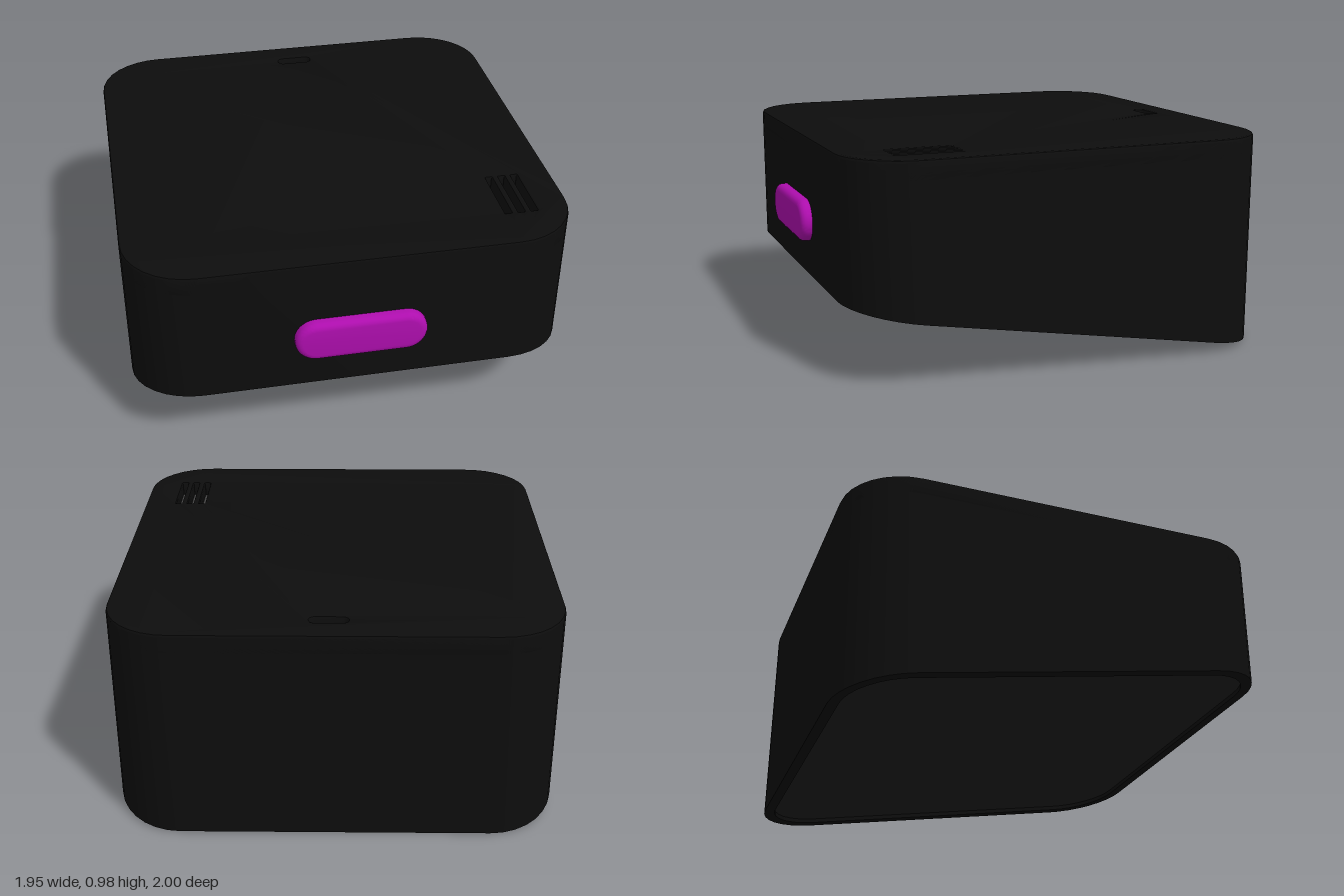
import * as THREE from 'three';
import { toCreasedNormals } from 'three/addons/utils/BufferGeometryUtils.js';

const black = new THREE.MeshStandardMaterial({ color: 0x0d0d0d });
const darkGrey = new THREE.MeshStandardMaterial({ color: 0x1e1e1e });
const grey = new THREE.MeshStandardMaterial({ color: 0x444444 });
const magenta = new THREE.MeshStandardMaterial({ color: 0xae0eae });

const CENTER_Z = -0.025;
const TOP = 0.975;
const underside = (z) => 0.345 * (z + 1) / 1.95;

// Rounded rectangle centred on (cx, cy)
function roundRect(w, h, r, cx = 0, cy = 0, PathType = THREE.Shape) {
  const p = new PathType();
  const x = w / 2 - r, y = h / 2 - r;
  const corners = [[x, y], [-x, y], [-x, -y], [x, -y]];
  corners.forEach(([px, py], i) =>
    p.absarc(cx + px, cy + py, r, i * Math.PI / 2, (i + 1) * Math.PI / 2, false));
  p.closePath();
  return p;
}

// Extrude a floor plan upwards; plan y is minus world z
function extrudeUp(shape, depth, options = {}) {
  const g = new THREE.ExtrudeGeometry(shape, { depth, curveSegments: 4, bevelEnabled: false, ...options });
  return g.rotateX(-Math.PI / 2);
}

// Move every vertex height by a rule of (y, z)
function mapHeight(g, rule) {
  const p = g.attributes.position;
  for (let i = 0; i < p.count; i++) p.setY(i, rule(p.getY(i), p.getZ(i)));
  return g;
}

export function createModel() {
  const group = new THREE.Group();
  const add = (name, geometry, material) => {
    const mesh = new THREE.Mesh(toCreasedNormals(geometry, 0.5), material);
    mesh.name = name;
    group.add(mesh);
  };

  // Side wall, cut off at a slant underneath
  const wall = roundRect(1.95, 1.95, 0.295, 0, -CENTER_Z);
  wall.holes.push(roundRect(1.85, 1.85, 0.245, 0, -CENTER_Z, THREE.Path));
  add('sideWall', mapHeight(extrudeUp(wall, 1), (t, z) => THREE.MathUtils.lerp(underside(z), 0.962, t)), black);

  // Slanted base plate, slightly recessed in the wall
  const plate = roundRect(1.852, 1.852, 0.246, 0, -CENTER_Z);
  add('basePlate', mapHeight(extrudeUp(plate, 0.03), (y, z) => y + underside(z) + 0.02), darkGrey);

  // Openings in the top: one indicator window and three vent slots
  const openings = [
    { name: 'indicatorWindow', x: 0.027, z: -0.85, w: 0.165, h: 0.05, r: 0.0249 },
    ...[0.694, 0.753, 0.811].map((x) => ({ name: 'ventSlot', x, z: 0.585, w: 0.028, h: 0.29, r: 0.002 })),
  ];

  // Top lid with a fine bevel
  const bevel = 0.012;
  const lid = roundRect(1.95, 1.95, 0.295, 0, -CENTER_Z);
  for (const o of openings) lid.holes.push(roundRect(o.w, o.h, o.r, o.x, -o.z, THREE.Path));
  const lidGeometry = extrudeUp(lid, 0.07, {
    bevelEnabled: true, bevelThickness: bevel, bevelSize: bevel, bevelOffset: -bevel, bevelSegments: 2,
  });
  // Bevel offset widens the openings only near the surface
  add('topLid', lidGeometry.translate(0, TOP - 0.07 - bevel, 0), black);

  // Grey floors deep inside the openings
  for (const o of openings) {
    const floor = new THREE.BoxGeometry(o.w + 0.02, 0.02, o.h + 0.02);
    add(o.name, floor.translate(o.x, 0.895, o.z), grey);
  }

  // Pill-shaped front button
  const edge = 0.03;
  const button = new THREE.ExtrudeGeometry(roundRect(0.575, 0.19, 0.0949, 0, 0.597), {
    depth: 0.06, curveSegments: 8, bevelEnabled: true,
    bevelThickness: edge, bevelSize: edge, bevelOffset: -edge, bevelSegments: 4,
  });
  add('frontButton', button.translate(0, 0, 1 - 0.06 - edge), magenta);

  return group;
}
